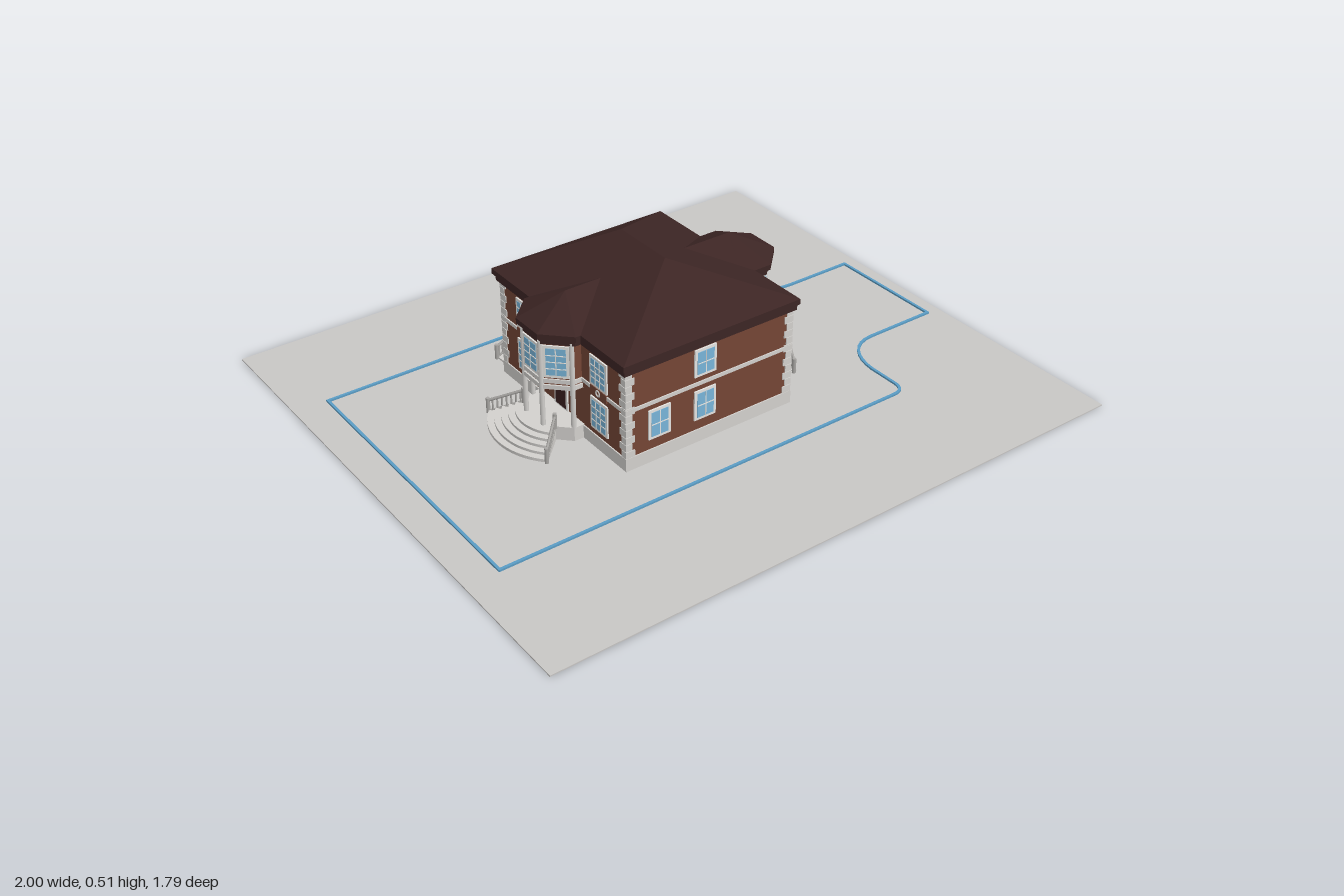
import * as THREE from 'three';

const mat = (name, color, extra = {}) => Object.assign(new THREE.MeshStandardMaterial({ color, ...extra }), { name });
const M = {
  ground: mat('paving grey', 0xc8c6c4),
  brick: mat('brick', 0x744535),
  stone: mat('pale stone', 0xd2d0cd),
  rail: mat('railing grey', 0xa9a7a4),
  roof: mat('dark roof', 0x3c2524),
  frame: mat('window white', 0xe4e3e0),
  glass: mat('glass blue', 0x78b4d8),
  curb: mat('curb blue', 0x5a9cc4),
  door: mat('door brown', 0x3a1f20),
};

// House extents, floor levels and bay centres
const X0 = -0.363, X1 = 0.24, Z0 = -0.34, Z1 = 0.316;
const PLINTH = 0.047, BAND = 0.2, EAVE = 0.34, EAVE_TOP = 0.37;
const BZ = -0.015, RB = 0.26, LB = -0.35, BAY_R = 0.12, APO = BAY_R * Math.cos(Math.PI / 8);

export function createModel() {
  const root = new THREE.Group();
  root.name = 'house';

  const add = (name, geo, m, parent = root) => {
    const mesh = new THREE.Mesh(geo, m);
    mesh.name = name;
    parent.add(mesh);
    return mesh;
  };
  const box = (name, m, x0, x1, y0, y1, z0, z1, parent = root) => {
    const b = add(name, new THREE.BoxGeometry(x1 - x0, y1 - y0, z1 - z0), m, parent);
    b.position.set((x0 + x1) / 2, (y0 + y1) / 2, (z0 + z1) / 2);
    return b;
  };
  const octagon = (name, m, x, r, y0, y1, rTop = r) => {
    const g = new THREE.CylinderGeometry(rTop, r, y1 - y0, 8).toNonIndexed();
    g.rotateY(Math.PI / 8);
    g.computeVertexNormals();
    add(name, g, m).position.set(x, (y0 + y1) / 2, BZ);
  };
  const post = (name, m, x, y0, y1, z, r, parent = root) =>
    add(name, new THREE.CylinderGeometry(r, r, y1 - y0, 8), m, parent).position.set(x, (y0 + y1) / 2, z);
  const triangles = (list) => {
    const g = new THREE.BufferGeometry();
    g.setAttribute('position', new THREE.Float32BufferAttribute(list.flat(), 3));
    g.computeVertexNormals();
    return g;
  };

  // Ground slab
  box('ground', M.ground, -1, 1, 0, 0.004, -0.897, 0.893);

  // Garden curb following the plot outline
  const plot = new THREE.Path();
  plot.moveTo(-0.89, -0.515).lineTo(0.525, -0.515);
  plot.quadraticCurveTo(0.57, -0.515, 0.57, -0.47).lineTo(0.57, -0.37);
  plot.bezierCurveTo(0.575, -0.29, 0.62, -0.227, 0.7, -0.227).lineTo(0.95, -0.227);
  plot.lineTo(0.95, 0.185).lineTo(0.7, 0.185);
  plot.bezierCurveTo(0.62, 0.185, 0.575, 0.25, 0.57, 0.33).lineTo(0.57, 0.435);
  plot.quadraticCurveTo(0.57, 0.48, 0.525, 0.48).lineTo(-0.89, 0.48).lineTo(-0.89, -0.515);
  const pts = plot.getPoints(8);
  for (let i = 1; i < pts.length; i++) {
    const a = pts[i - 1], b = pts[i], len = a.distanceTo(b);
    if (len < 1e-4) continue;
    const c = add('gardenCurb', new THREE.BoxGeometry(len + 0.006, 0.008, 0.009), M.curb);
    c.position.set((a.x + b.x) / 2, 0.006, (a.y + b.y) / 2);
    c.rotation.y = -Math.atan2(b.y - a.y, b.x - a.x);
  }

  // Main block: plinth, brick walls, string course, cornice
  box('plinth', M.stone, X0 - 0.004, X1 + 0.004, 0, PLINTH, Z0 - 0.004, Z1 + 0.004);
  box('walls', M.brick, X0, X1, PLINTH, EAVE, Z0, Z1);
  box('stringCourse', M.stone, X0 - 0.004, X1 + 0.004, BAND, BAND + 0.012, Z0 - 0.004, Z1 + 0.004);
  box('eaveSoffit', M.roof, X0 - 0.01, X1 + 0.01, EAVE - 0.008, EAVE + 0.012, Z0 - 0.012, Z1 + 0.01);

  // Corner quoins with alternating block lengths
  const n = 12, qh = (EAVE - PLINTH) / n;
  for (const [x, sx] of [[X0, 1], [X1, -1]]) for (const [z, sz] of [[Z0, 1], [Z1, -1]])
    for (let i = 0; i < n; i++) {
      const lx = i % 2 ? 0.02 : 0.029, lz = i % 2 ? 0.029 : 0.02, p = 0.003;
      const xa = x - sx * p, xb = x + sx * lx, za = z - sz * p, zb = z + sz * lz, y = PLINTH + i * qh;
      box('quoin', M.stone, Math.min(xa, xb), Math.max(xa, xb), y, y + qh - 0.002, Math.min(za, zb), Math.max(za, zb));
    }

  // Hipped main roof
  box('roofFascia', M.roof, -0.38, 0.255, 0.352, EAVE_TOP, -0.363, 0.333);
  const y = EAVE_TOP, A = [-0.38, y, -0.363], B = [0.255, y, -0.363], C = [0.255, y, 0.333], D = [-0.38, y, 0.333];
  const R1 = [-0.064, 0.507, -0.125], R2 = [-0.064, 0.507, 0.095];
  add('mainRoof', triangles([D, C, R2, B, A, R1, C, B, R1, C, R1, R2, A, D, R2, A, R2, R1]), M.roof);

  // Bay roofs: eight-sided cap with a ridge running into the main roof
  const ROOF_R = 0.147, apo = ROOF_R * Math.cos(Math.PI / 8);
  for (const [cx, inner] of [[RB, 0.08], [LB + 0.01, -0.2]]) {
    octagon('bayFascia', M.roof, cx, ROOF_R, 0.352, EAVE_TOP);
    octagon('bayRoof', M.roof, cx, ROOF_R, EAVE_TOP, 0.441, 0.0005);
    octagon('baySoffit', M.roof, cx, ROOF_R - 0.012, EAVE - 0.008, 0.354);
    const lo = Math.min(cx, inner), hi = Math.max(cx, inner);
    const a = [lo, y, BZ + apo], b = [hi, y, BZ + apo], c = [hi, y, BZ - apo], d = [lo, y, BZ - apo];
    const p = [lo, 0.441, BZ], q = [hi, 0.441, BZ];
    add('bayRoofRidge', triangles([a, b, q, a, q, p, c, d, p, c, p, q]), M.roof);
  }

  // Windows and doors, placed flat on a wall that faces the given heading
  const opening = (name, x, yc, z, turn, w, h, cols, rows, fill = M.glass) => {
    const g = new THREE.Group();
    g.name = name;
    g.position.set(x, yc, z);
    g.rotation.y = turn;
    root.add(g);
    const gw = w - 0.018, gh = h - 0.018, t = 0.0028;
    box('frame', M.frame, -w / 2, w / 2, -h / 2, h / 2, 0, 0.005, g);
    box(fill === M.door ? 'doorLeaf' : 'pane', fill, -gw / 2, gw / 2, -gh / 2, gh / 2, 0, 0.0065, g);
    for (let i = 1; i < cols; i++) {
      const u = -gw / 2 + gw * i / cols;
      box('mullion', M.frame, u - t / 2, u + t / 2, -gh / 2, gh / 2, 0, 0.008, g);
    }
    for (let i = 1; i < rows; i++) {
      const v = -gh / 2 + gh * i / rows;
      box('glazingBar', M.frame, -gw / 2, gw / 2, v - t / 2, v + t / 2, 0, 0.008, g);
    }
  };
  const H = Math.PI / 2;
  // Front and back walls
  opening('frontWindow', -0.084, 0.277, Z1, 0, 0.078, 0.092, 2, 2);
  for (const x of [-0.084, -0.248]) opening('frontWindow', x, 0.132, Z1, 0, 0.078, 0.1, 2, 2);
  opening('stairWindow', -0.075, 0.215, Z0, Math.PI, 0.075, 0.17, 2, 5);
  opening('backWindow', 0.14, 0.132, Z0, Math.PI, 0.078, 0.09, 2, 2);
  opening('backDoor', -0.2, 0.107, Z0, Math.PI, 0.07, 0.12, 1, 1, M.door);
  // Side walls, with a rosette between floors
  for (const [x, s] of [[X1, 1], [X0, -1]]) for (const z of [0.186, -0.207]) {
    opening('sideWindow', x, 0.268, z, s * H, 0.085, 0.1, 3, 4);
    opening('sideWindow', x, 0.122, z, s * H, 0.085, 0.108, 3, 4);
    box('rosettePanel', M.brick, x - 0.006, x + 0.006, 0.188, 0.216, z - 0.04, z + 0.04);
    const ring = add('rosette', new THREE.TorusGeometry(0.009, 0.003, 6, 12), M.stone);
    ring.position.set(x + s * 0.006, 0.203, z);
    ring.rotation.y = H;
  }

  // Bays: full height on the left side, raised over a porch on the right side
  octagon('bayPlinth', M.stone, RB, BAY_R + 0.004, 0, PLINTH);
  octagon('bayWalls', M.brick, RB, BAY_R, PLINTH, EAVE);
  octagon('raisedBayWalls', M.brick, LB, BAY_R, 0.185, EAVE);
  octagon('porchCeiling', M.stone, LB, BAY_R + 0.006, 0.178, 0.192);
  for (const [cx, s] of [[RB, 1], [LB, -1]]) {
    octagon('bayStringCourse', M.stone, cx, BAY_R + 0.005, BAND - 0.002, BAND + 0.012);
    for (const k of [-1, 0, 1]) {
      const a = k * Math.PI / 4, px = cx + s * APO * Math.cos(a), pz = BZ + APO * Math.sin(a);
      const turn = s > 0 ? H - a : -H + a;
      opening('bayWindow', px, 0.272, pz, turn, 0.078, 0.108, 2, 4);
      if (s < 0) continue;
      if (k) opening('bayWindow', px, 0.125, pz, turn, 0.078, 0.115, 2, 4);
      else opening('frontDoor', px, 0.108, pz, turn, 0.07, 0.122, 1, 1, M.door);
    }
    for (const k of [-1.5, -0.5, 0.5, 1.5]) {
      const a = k * Math.PI / 4;
      post(s > 0 ? 'bayPilaster' : 'porchColumn', M.stone, cx + s * BAY_R * Math.cos(a), 0.045, EAVE, BZ + BAY_R * Math.sin(a), 0.008);
    }
  }
  opening('porchDoor', X0, 0.107, BZ, -H, 0.07, 0.122, 1, 1, M.door);

  // Balustrade along a path of floor points
  const railing = (name, list, count, tension = 0.5) => {
    const g = new THREE.Group();
    g.name = name;
    root.add(g);
    const v = list.map((p) => new THREE.Vector3(...p));
    const curve = new THREE.CatmullRomCurve3(v, false, 'catmullrom', tension);
    const lift = (dy) => new THREE.CatmullRomCurve3(v.map((p) => p.clone().setY(p.y + dy)), false, 'catmullrom', tension);
    add('handrail', new THREE.TubeGeometry(lift(0.043), 32, 0.0045, 6), M.rail, g);
    add('bottomRail', new THREE.TubeGeometry(lift(0.005), 32, 0.0035, 6), M.rail, g);
    for (let i = 0; i <= count; i++) {
      const p = curve.getPointAt(i / count), end = i === 0 || i === count;
      post(end ? 'newelPost' : 'baluster', M.rail, p.x, p.y, p.y + (end ? 0.052 : 0.043), p.z, end ? 0.0065 : 0.003, g);
    }
  };

  // Curved entrance terrace with steps down both ends
  const TH = 0.045, tz = 0.125;
  const terrace = new THREE.Shape();
  terrace.moveTo(0.2, -tz).lineTo(0.415, -tz).quadraticCurveTo(0.53, 0, 0.415, tz).lineTo(0.2, tz);
  const terraceGeo = new THREE.ExtrudeGeometry(terrace, { depth: TH, bevelEnabled: false, curveSegments: 16 });
  terraceGeo.rotateX(-H);
  add('terrace', terraceGeo, M.stone).position.z = BZ;
  for (const s of [-1, 1]) for (let i = 0; i < 4; i++) {
    const a = BZ + s * (tz - 0.01), b = BZ + s * (tz + 0.022 * (i + 1));
    box('terraceStep', M.stone, 0.2, 0.41 - 0.012 * i, 0, TH * (1 - (i + 1) / 5), Math.min(a, b), Math.max(a, b));
  }
  railing('terraceRailing', [[0.36, 0.004, BZ - 0.215], [0.385, 0.024, BZ - 0.165], [0.415, TH, BZ - 0.12], [0.45, TH, BZ - 0.065],
    [0.465, TH, BZ], [0.45, TH, BZ + 0.065], [0.415, TH, BZ + 0.12], [0.385, 0.024, BZ + 0.165], [0.36, 0.004, BZ + 0.215]], 30);

  // Porch floor and fan-shaped steps
  octagon('porchFloor', M.stone, LB, BAY_R + 0.008, 0, 0.05);
  for (let i = 0; i < 5; i++) {
    const r = 0.145 + i * 0.021, fan = new THREE.Shape();
    fan.moveTo(0, 0).absarc(0, 0, r, Math.PI * 0.75, Math.PI * 1.25, false).lineTo(0, 0);
    const g = new THREE.ExtrudeGeometry(fan, { depth: 0.05 - i * 0.009, bevelEnabled: false, curveSegments: 12 });
    g.rotateX(-H);
    add('fanStep', g, M.stone).position.set(-0.36, 0, BZ);
  }
  for (const s of [-1, 1])
    railing('porchRailing', [[-0.445, 0.05, BZ + s * 0.085], [-0.525, 0.004, BZ + s * 0.162]], 8);

  // Back landing with a straight flight
  box('backLanding', M.stone, -0.245, -0.085, 0, 0.05, -0.427, Z0);
  for (let i = 0; i < 4; i++)
    box('backStep', M.stone, -0.27 - 0.024 * i, -0.24, 0, 0.04 - i * 0.01, -0.427, Z0);
  railing('backRailing', [[-0.245, 0.05, -0.421], [-0.092, 0.05, -0.421]], 11);
  railing('backRailing', [[-0.345, 0.004, -0.421], [-0.245, 0.05, -0.421]], 8);
  railing('backRailing', [[-0.092, 0.05, -0.421], [-0.092, 0.05, -0.346]], 6);

  return root;
}
